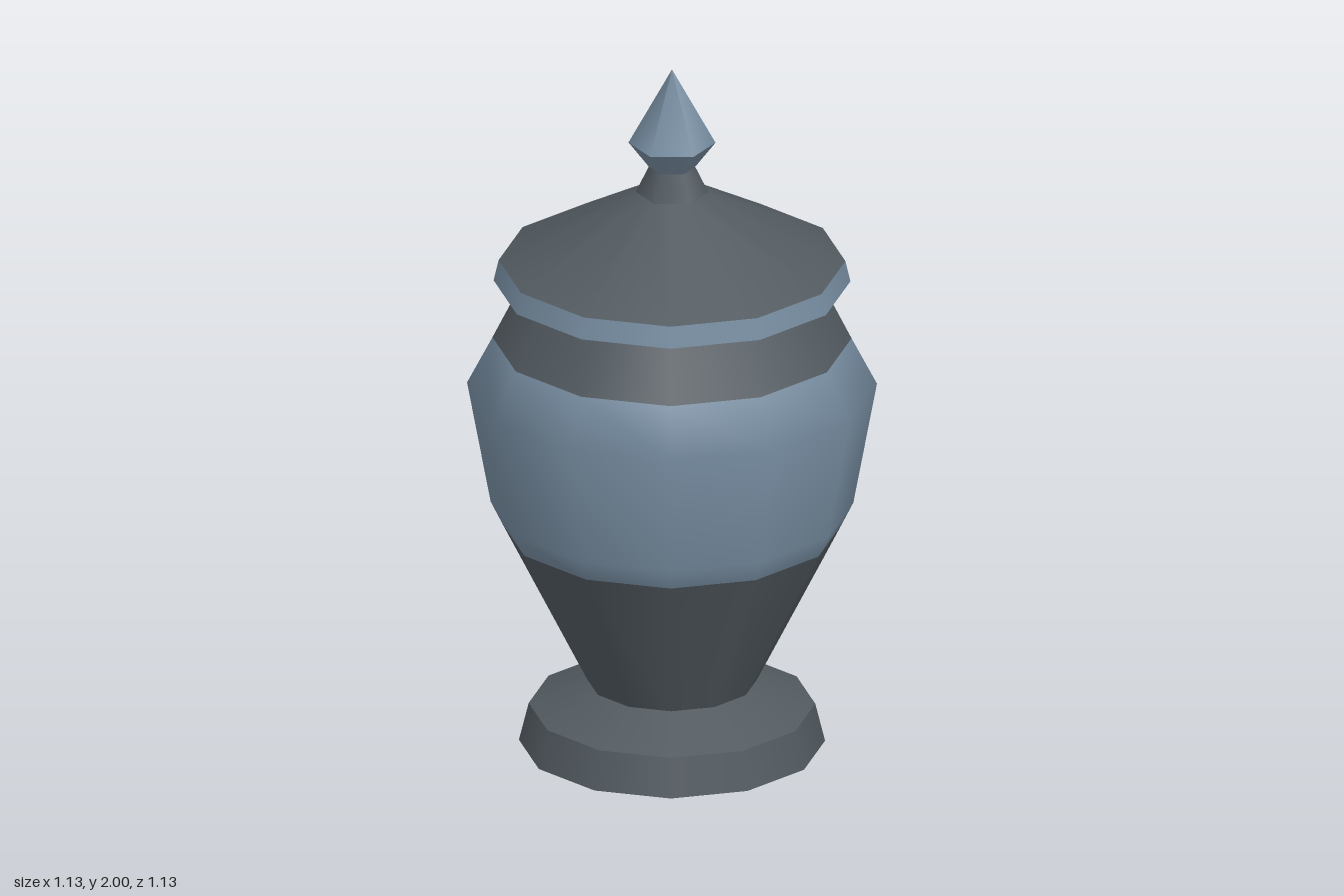
import * as THREE from 'three';

const slate = new THREE.MeshStandardMaterial({ color: 0x525a60, side: THREE.DoubleSide });
slate.name = 'slate grey';
const blue = new THREE.MeshStandardMaterial({ color: 0x768ca0, side: THREE.DoubleSide });
blue.name = 'steel blue';

// Turned shell through [radius, height] points; smooth along its own profile.
function turned(profile, sides) {
  return new THREE.LatheGeometry(profile.map(([r, y]) => new THREE.Vector2(r, y)), sides);
}

// Keeps only the profile rows from..to, so neighbouring bands share normals.
function rows(geometry, count, from, to) {
  const index = Array.from(geometry.index.array);
  const kept = index.filter((_, i) => {
    const row = Math.floor(i / 6) % (count - 1);
    return row >= from && row < to;
  });
  geometry.setIndex(kept);
  return geometry;
}

export function createModel() {
  const urn = new THREE.Group();
  urn.name = 'urn';
  const add = (name, geometry, material) => {
    const mesh = new THREE.Mesh(geometry, material);
    mesh.name = name;
    urn.add(mesh);
    return mesh;
  };

  // Hollow foot, open underneath
  add('footWall', turned([[0.422, 0], [0.395, 0.11]], 12), slate);
  add('footSlope', turned([[0.395, 0.11], [0.235, 0.183]], 12), slate);

  // Body: one smooth profile cut into three colour bands
  const body = [[0.235, 0.183], [0.468, 0.645], [0.5, 0.71], [0.565, 1.065], [0.495, 1.2], [0.42, 1.35]];
  const band = (from, to) => rows(turned(body, 12), body.length, from, to);
  add('lowerBody', band(0, 1), slate);
  add('bodyBand', band(1, 4), blue);
  add('shoulder', band(4, 5), slate);

  // Lid
  add('lidUnderside', turned([[0.42, 1.35], [0.492, 1.37]], 12), slate);
  add('lidRim', turned([[0.492, 1.37], [0.478, 1.43]], 12), blue);
  const lid = turned([[0.478, 1.43], [0.1, 1.635]], 12);
  // Pull every other top corner in so the lid meets the six-sided neck
  const p = lid.attributes.position;
  for (let i = 0; i <= 12; i++) {
    const v = i * 2 + 1;
    const k = i % 2 ? Math.cos(Math.PI / 6) : 1;
    p.setXYZ(v, p.getX(v) * k, p.getY(v), p.getZ(v) * k);
  }
  add('lid', lid, slate);

  // Six-sided finial
  add('finialNeck', turned([[0.1, 1.635], [0.064, 1.71]], 6), slate);
  add('finialCup', turned([[0.064, 1.71], [0.12, 1.782]], 6), blue);
  add('finialTip', turned([[0.12, 1.782], [0, 2]], 6), blue);

  return urn;
}
